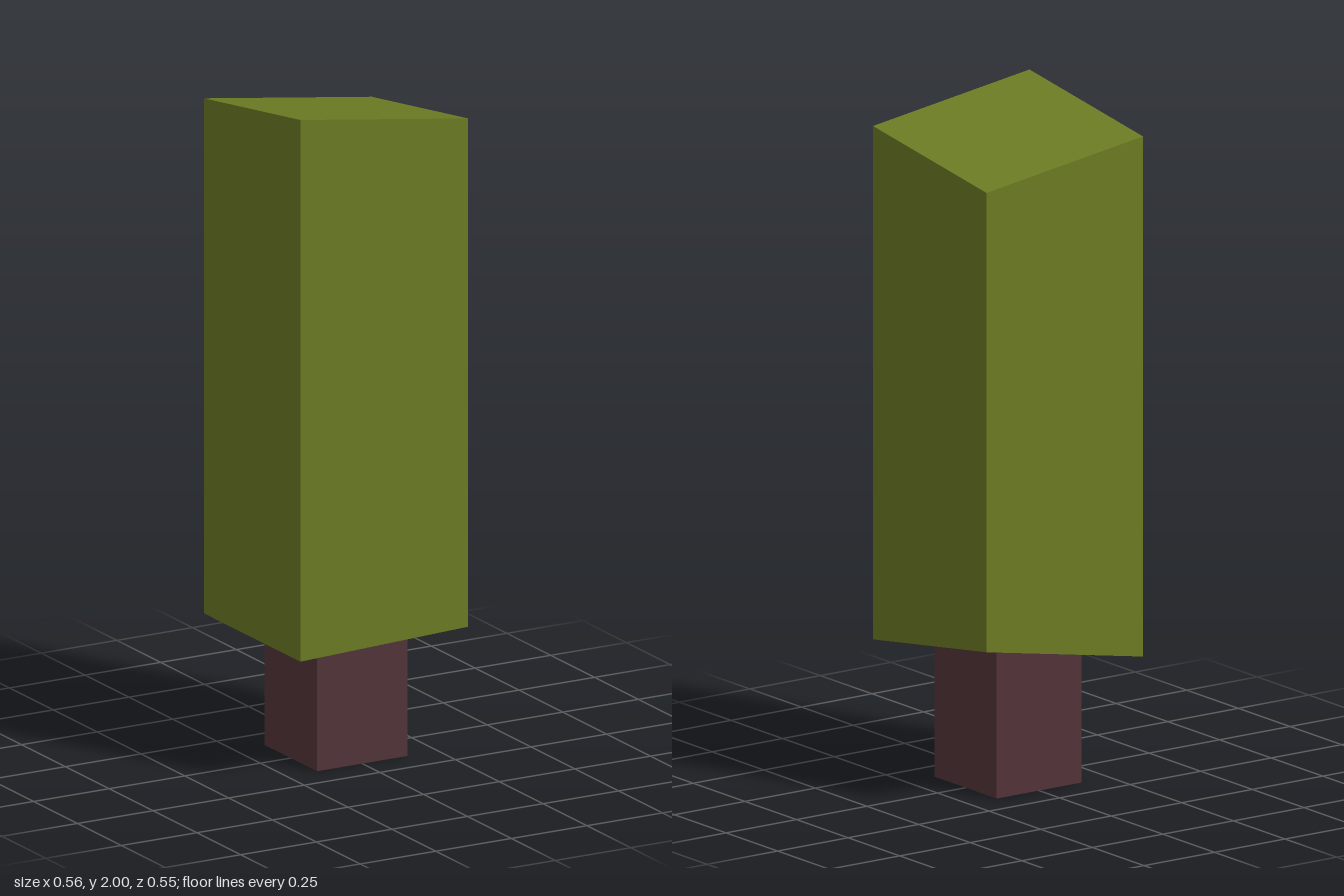
import * as THREE from 'three';

const leafGreen = new THREE.MeshStandardMaterial({ color: 0x6b7b23 });
const barkBrown = new THREE.MeshStandardMaterial({ color: 0x523439, side: THREE.DoubleSide });

// Separate the faces so that every face has its own flat normal
function flat(geometry) {
  const g = geometry.toNonIndexed();
  g.computeVertexNormals();
  return g;
}

export function createModel() {
  const tree = new THREE.Group();
  tree.name = 'tree';

  // Trunk: square tube, open at the bottom, ending inside the crown
  const height = 0.45;
  const trunkGeometry = new THREE.CylinderGeometry(
    0.15 * Math.SQRT2, 0.15 * Math.SQRT2, height, 4, 1, true, Math.PI / 4);
  trunkGeometry.translate(0, height / 2, 0);
  const trunk = new THREE.Mesh(flat(trunkGeometry), barkBrown);
  trunk.name = 'trunk';
  tree.add(trunk);

  // Crown: box with a slanted top and an uneven, folded underside
  const crownGeometry = new THREE.BoxGeometry(0.555, 2, 0.55);
  const p = crownGeometry.attributes.position;
  for (let i = 0; i < p.count; i++) {
    const left = p.getX(i) > 0, back = p.getZ(i) < 0;
    const y = p.getY(i) > 0
      ? 2 - (left ? 0.08 : 0) - (back ? 0.08 : 0)
      : 0.38 + (left ? (back ? 0.1 : 0.02) : 0);
    p.setY(i, y);
  }
  const crown = new THREE.Mesh(flat(crownGeometry), leafGreen);
  crown.name = 'crown';
  tree.add(crown);

  return tree;
}
